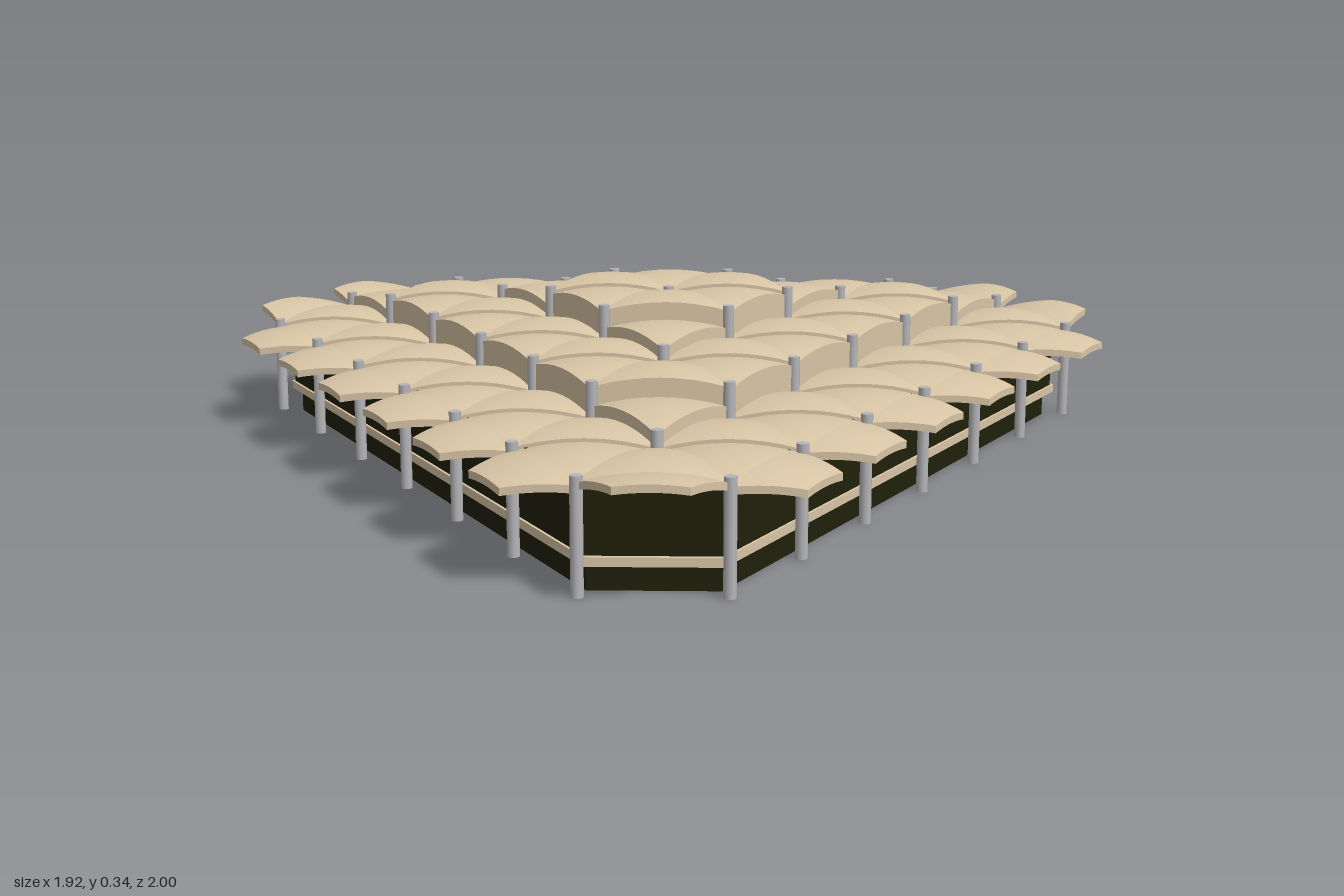
import * as THREE from 'three';

const S = 0.2566, H = 0.2222, CZ = -0.2222; // column spacing, row spacing, centre column

// Triangular column grid: (u, v) -> x, z, and the ring number counted from the centre
const spot = ([u, v]) => [(u + v / 2) * S, CZ + v * H];
const ring = ([u, v]) => Math.max(-v, u + v, -u);
const inside = ([u, v]) => ring([u, v]) <= 3 && v <= 5 && u <= 4 && u + v >= -4;

// Curved roof tile on corners a, b, c; reach < 1 cuts the tip off towards c
function tileGeometry(a, b, c, level, thick, reach = 1, droop = 0) {
  let [A, B, C] = [a, b, c].map(spot);
  if ((B[1] - A[1]) * (C[0] - A[0]) - (B[0] - A[0]) * (C[1] - A[1]) < 0) [A, B] = [B, A];
  const pos = [], idx = [], n = 8;
  const at = (s, t, down) => {
    const wc = reach * t, wa = (1 - wc) * (1 - s), wb = (1 - wc) * s;
    const q = (wa * wa + wb * wb + wc * wc - 1 / 3) * 1.5;
    return [
      wa * A[0] + wb * B[0] + wc * C[0],
      level - 0.024 * q - droop * wc - down,
      wa * A[1] + wb * B[1] + wc * C[1],
    ];
  };
  const grid = (nu, nv, f) => {
    const base = pos.length / 3;
    for (let j = 0; j <= nv; j++) for (let i = 0; i <= nu; i++) pos.push(...f(i / nu, j / nv));
    for (let j = 0; j < nv; j++) for (let i = 0; i < nu; i++) {
      const k = base + j * (nu + 1) + i;
      idx.push(k, k + 1, k + nu + 1, k + 1, k + nu + 2, k + nu + 1);
    }
  };
  grid(n, n, (s, t) => at(s, t, 0));
  grid(n, n, (s, t) => at(1 - s, t, thick));
  grid(n, 1, (s, t) => at(s, 0, thick * (1 - t)));
  grid(n, 1, (s, t) => at(1, s, thick * (1 - t)));
  grid(n, 1, (s, t) => at(0, 1 - s, thick * (1 - t)));
  if (reach < 1) grid(n, 1, (s, t) => at(1 - s, 1, thick * (1 - t)));
  const g = new THREE.BufferGeometry();
  g.setAttribute('position', new THREE.Float32BufferAttribute(pos, 3));
  g.setIndex(idx);
  g.computeVertexNormals();
  return g;
}

// Flat slab or ring between two heights, drawn counter-clockwise in plan (x, z)
function slab(outer, hole, y0, y1) {
  const toPoints = (list) => list.map(([x, z]) => new THREE.Vector2(x, z));
  const shape = new THREE.Shape(toPoints(outer));
  shape.holes.push(new THREE.Path(toPoints(hole)));
  const g = new THREE.ExtrudeGeometry(shape, { depth: y1 - y0, bevelEnabled: false });
  return g.rotateX(Math.PI / 2).translate(0, y1, 0);
}
const scaled = (list, k, cz = 0) => list.map(([x, z]) => [x * k, cz + (z - cz) * k]);

export function createModel() {
  const model = new THREE.Group();
  const tan = new THREE.MeshStandardMaterial({ color: 0xd9c6a6 });
  tan.name = 'sand';
  const dark = new THREE.MeshStandardMaterial({ color: 0x20200c });
  dark.name = 'dark olive';
  const grey = new THREE.MeshStandardMaterial({ color: 0xb6b6ba });
  grey.name = 'steel grey';
  const add = (parent, name, geometry, material) => {
    const mesh = new THREE.Mesh(geometry, material);
    mesh.name = name;
    parent.add(mesh);
  };

  // Roof tiles stepping down from the middle, with cut-off overhangs round the edge
  const roof = new THREE.Group();
  roof.name = 'roof';
  const columnTops = new Map();
  for (let v = -4; v <= 6; v++) for (let u = -6; u <= 6; u++) {
    const pair = [
      [[u, v], [u + 1, v], [u, v + 1]],
      [[u + 1, v], [u, v + 1], [u + 1, v + 1]],
    ];
    pair.forEach((tri, turned) => {
      if (!tri.every(inside)) return;
      const rings = tri.map(ring);
      // neighbouring tiles overlap by a small step
      const level = 0.367 - 0.03 * (Math.min(...rings) + Math.max(...rings)) + 0.007 * turned;
      add(roof, 'roofTile', tileGeometry(...tri, level, level > 0.235 ? 0.06 : 0.014), tan);
      for (const p of tri) {
        const key = p.join();
        columnTops.set(key, Math.max(columnTops.get(key) || 0, level - 0.012));
      }
      for (let k = 0; k < 3; k++) {
        const a = tri[k], b = tri[(k + 1) % 3], c = tri[(k + 2) % 3];
        const tip = [a[0] + b[0] - c[0], a[1] + b[1] - c[1]];
        if (inside(tip)) continue;
        const droop = ring(tip) > 3 ? 0.045 : -0.01;
        add(roof, 'overhang', tileGeometry(a, b, tip, level, 0.014, 0.5, droop), tan);
      }
    });
  }
  model.add(roof);

  // Round columns at every grid point
  const columns = new THREE.Group();
  columns.name = 'columns';
  for (const [key, top] of columnTops) {
    const [x, z] = spot(key.split(',').map(Number));
    const g = new THREE.CylinderGeometry(0.0115, 0.0115, top, 12).translate(x, top / 2, z);
    add(columns, 'column', g, grey);
  }
  model.add(columns);

  // Enclosed building: base, floor slab whose edge shows as a band, and walls
  const plan = [[-0.118, 0.872], [-0.868, -0.443], [-0.755, -0.642],
    [0.755, -0.642], [0.868, -0.443], [0.118, 0.872]];
  const court = [[-0.04, 0.02], [-0.28, -0.38], [-0.25, -0.425],
    [0.25, -0.425], [0.28, -0.38], [0.04, 0.02]];
  const base = scaled(plan, 0.98);
  add(model, 'base', slab(base, scaled(base, 0.975), 0, 0.05), dark);
  add(model, 'floor', slab(scaled(plan, 1.01), court, 0.05, 0.067), tan);
  add(model, 'walls', slab(plan, scaled(plan, 0.98), 0.067, 0.2), dark);
  add(model, 'courtyardRim', slab(scaled(court, 1.05, CZ), court, 0.067, 0.09), tan);
  return model;
}
